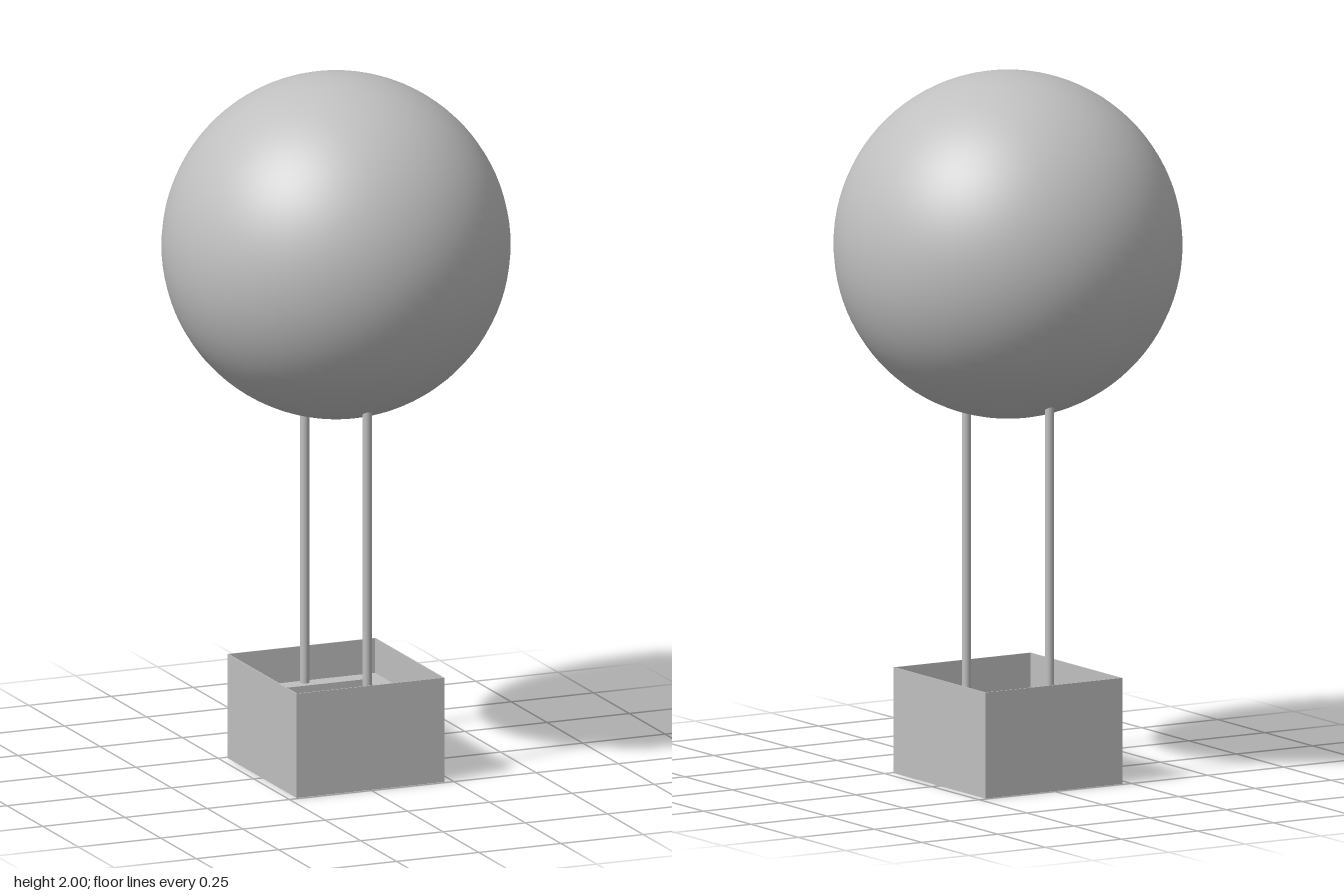
import * as THREE from 'three';

const W = 0.45, D = 0.484; // basket footprint

// Rectangular ring lying flat, from y0 to y1, with a border of width t
function frame(t, y0, y1) {
  const rect = (Ctor, w, d) => {
    const p = new Ctor();
    p.moveTo(-w / 2, -d / 2);
    p.lineTo(w / 2, -d / 2);
    p.lineTo(w / 2, d / 2);
    p.lineTo(-w / 2, d / 2);
    p.closePath();
    return p;
  };
  const shape = rect(THREE.Shape, W, D);
  shape.holes.push(rect(THREE.Path, W - 2 * t, D - 2 * t));
  const geo = new THREE.ExtrudeGeometry(shape, { depth: y1 - y0, bevelEnabled: false });
  return geo.rotateX(-Math.PI / 2).translate(0, y0, 0);
}

export function createModel() {
  const model = new THREE.Group();
  model.name = 'balloon';
  const grey = new THREE.MeshStandardMaterial({ color: 0xc0c0c0 });
  grey.name = 'light grey';

  const add = (parent, name, geo) => {
    const mesh = new THREE.Mesh(geo, grey);
    mesh.name = name;
    parent.add(mesh);
    return mesh;
  };

  // Round envelope
  add(model, 'envelope', new THREE.SphereGeometry(0.487, 64, 48)).position.y = 1.513;

  // Open basket: solid floor, stepped bench, thin side walls
  const basket = new THREE.Group();
  basket.name = 'basket';
  model.add(basket);
  add(basket, 'floor', new THREE.BoxGeometry(W, 0.1, D)).position.y = 0.05;
  add(basket, 'bench', frame(0.057, 0.1, 0.2));
  add(basket, 'walls', frame(0.003, 0.2, 0.3));

  // Poles from the bench up into the envelope, front and back
  for (const side of [1, -1]) {
    const pole = add(model, side > 0 ? 'frontPole' : 'backPole',
      new THREE.CylinderGeometry(0.013, 0.013, 0.92, 24));
    pole.position.set(0, 0.65, side * 0.219);
  }
  return model;
}
